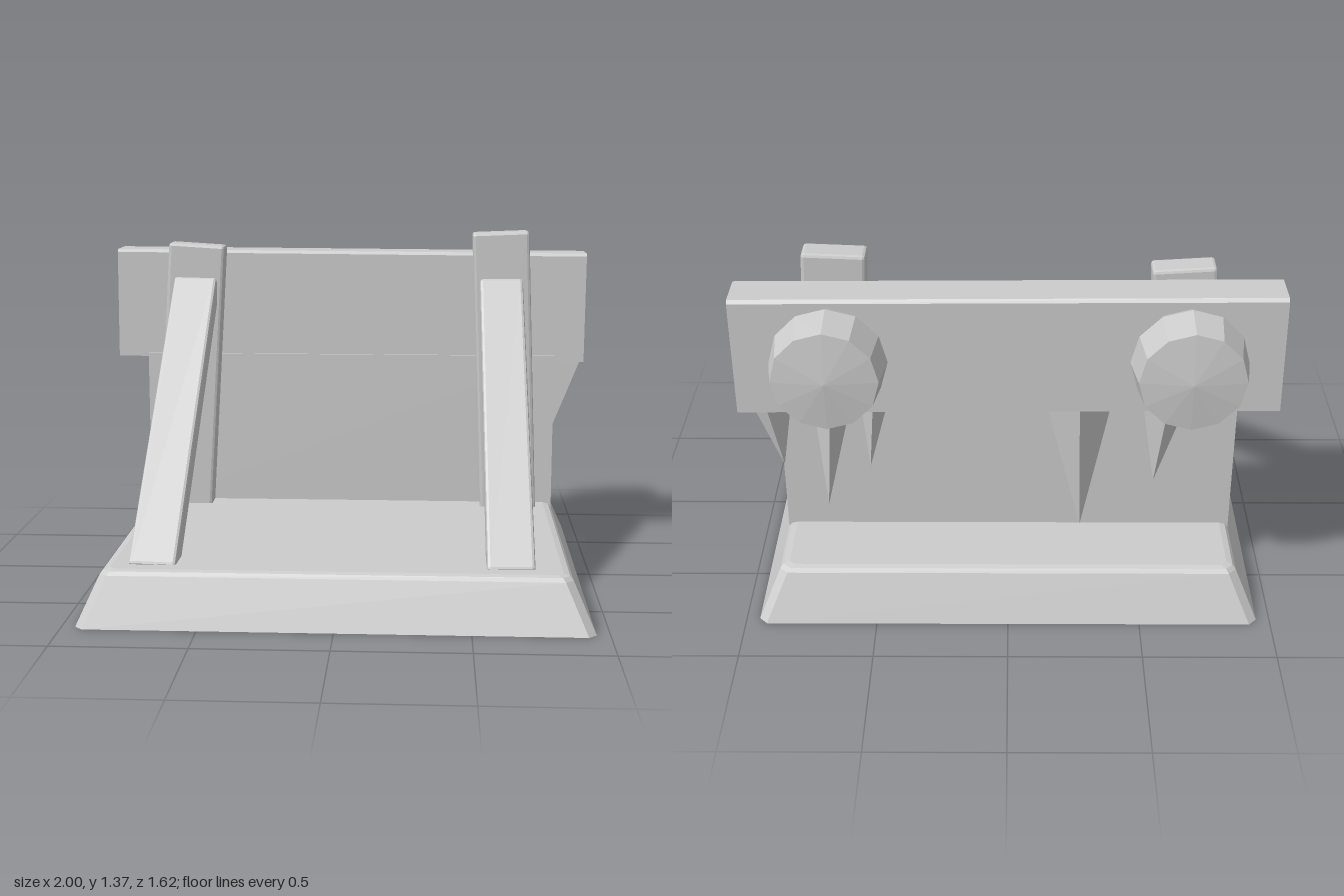
import * as THREE from 'three';
import { RoundedBoxGeometry } from 'three/addons/geometries/RoundedBoxGeometry.js';

const material = new THREE.MeshStandardMaterial({ color: 0xcccccc, flatShading: true });
const openMaterial = new THREE.MeshStandardMaterial({ color: 0xcccccc, flatShading: true, side: THREE.DoubleSide });

function add(group, name, geometry, mat = material) {
  const mesh = new THREE.Mesh(geometry, mat);
  mesh.name = name;
  group.add(mesh);
  return mesh;
}

function geometryFrom(points) {
  const geometry = new THREE.BufferGeometry().setFromPoints(points);
  geometry.computeVertexNormals();
  return geometry;
}

// Bevelled beam running from point a to point b
function beam(group, name, a, b, width, depth) {
  const start = new THREE.Vector3(...a), end = new THREE.Vector3(...b);
  const dir = end.clone().sub(start);
  const mesh = add(group, name, new RoundedBoxGeometry(width, dir.length(), depth, 1, 0.012));
  mesh.position.copy(start).add(end).multiplyScalar(0.5);
  const up = dir.normalize();
  const side = new THREE.Vector3(1, 0, 0).addScaledVector(up, -up.x).normalize();
  mesh.quaternion.setFromRotationMatrix(new THREE.Matrix4().makeBasis(side, up, side.clone().cross(up)));
}

// Chamfered rectangle at height y, counter-clockwise seen from above
function ring(x, z, y, c) {
  return [[x, z - c], [x, c - z], [x - c, -z], [c - x, -z], [-x, c - z], [-x, z - c], [c - x, z], [x - c, z]]
    .map(([px, pz]) => new THREE.Vector3(px, y, pz));
}

// Sloping base shell, open underneath
function baseGeometry() {
  const rings = [ring(0.95, 0.81, 0, 0.03), ring(0.87, 0.73, 0.18, 0.03), ring(0.858, 0.718, 0.194, 0.028), ring(0.835, 0.7, 0.2, 0.02)];
  const points = [];
  for (let r = 0; r < rings.length - 1; r++) {
    const low = rings[r], high = rings[r + 1];
    for (let i = 0; i < 8; i++) {
      const j = (i + 1) % 8;
      points.push(low[i], low[j], high[j], low[i], high[j], high[i]);
    }
  }
  const top = rings[rings.length - 1];
  for (let i = 1; i < 7; i++) points.push(top[0], top[i], top[i + 1]);
  return geometryFrom(points);
}

// Three-sided spike hanging from the board, with a flat front
function spikeGeometry(x0, x1, tipX, tipY) {
  const right = new THREE.Vector3(x0, 0.83, -0.465);
  const left = new THREE.Vector3(x1, 0.83, -0.465);
  const back = new THREE.Vector3((x0 + x1) / 2, 0.83, -0.562);
  const tip = new THREE.Vector3(tipX, tipY, -0.465);
  return geometryFrom([right, tip, left, left, tip, back, back, tip, right, right, left, back]);
}

export function createModel() {
  const model = new THREE.Group();
  model.name = 'barrier';

  add(model, 'base', baseGeometry(), openMaterial);

  // Leaning posts and their diagonal struts
  beam(model, 'rightPost', [-0.71, 0.175, -0.372], [-0.64, 1.315, -0.372], 0.235, 0.105);
  beam(model, 'leftPost', [0.68, 0.175, -0.372], [0.632, 1.37, -0.372], 0.235, 0.105);
  beam(model, 'rightStrut', [-0.686, 0.165, 0.61], [-0.645, 1.145, -0.345], 0.178, 0.106);
  beam(model, 'leftStrut', [0.647, 0.165, 0.61], [0.636, 1.145, -0.345], 0.178, 0.106);

  // Thin sheet below the board
  const sheet = add(model, 'sheet', new THREE.BoxGeometry(1.74, 0.67, 0.012));
  sheet.position.set(0, 0.505, -0.419);

  // Cross board: square bottom edges, bevelled top
  const bevel = 0.012;
  const outline = new THREE.Shape([[-0.085, -0.23], [0.085, -0.23], [0.085, 0.23 - bevel],
    [0.085 - bevel, 0.23], [bevel - 0.085, 0.23], [-0.085, 0.23 - bevel]].map(p => new THREE.Vector2(...p)));
  const boardGeometry = new THREE.ExtrudeGeometry(outline, { depth: 1.995, bevelEnabled: false });
  boardGeometry.translate(0, 0, -0.9975).rotateY(Math.PI / 2);
  const board = add(model, 'board', boardGeometry);
  board.position.set(0, 1.05, -0.512);
  board.rotation.z = -0.006;

  // Faceted lamps on the back of the board
  const profile = [[0, 0], [0.187, 0], [0.213, 0.055], [0.192, 0.2], [0, 0.222]].map(p => new THREE.Vector2(...p));
  for (const [name, x] of [['rightLamp', -0.65], ['leftLamp', 0.643]]) {
    const lamp = add(model, name, new THREE.LatheGeometry(profile, 12));
    lamp.rotation.x = -Math.PI / 2;
    lamp.position.set(x, 1.057, -0.592);
  }

  // Hanging spikes: start x, end x, tip x, tip y
  const spikes = [[0.99, 0.81, 0.86, 0.5], [0.74, 0.58, 0.7, 0.315], [0.56, 0.44, 0.53, 0.49],
    [-0.13, -0.4, -0.28, 0.22], [-0.5, -0.69, -0.56, 0.43]];
  spikes.forEach(([x0, x1, tipX, tipY], i) =>
    add(model, `spike${i + 1}`, spikeGeometry(x0, x1, tipX, tipY), openMaterial));

  return model;
}
